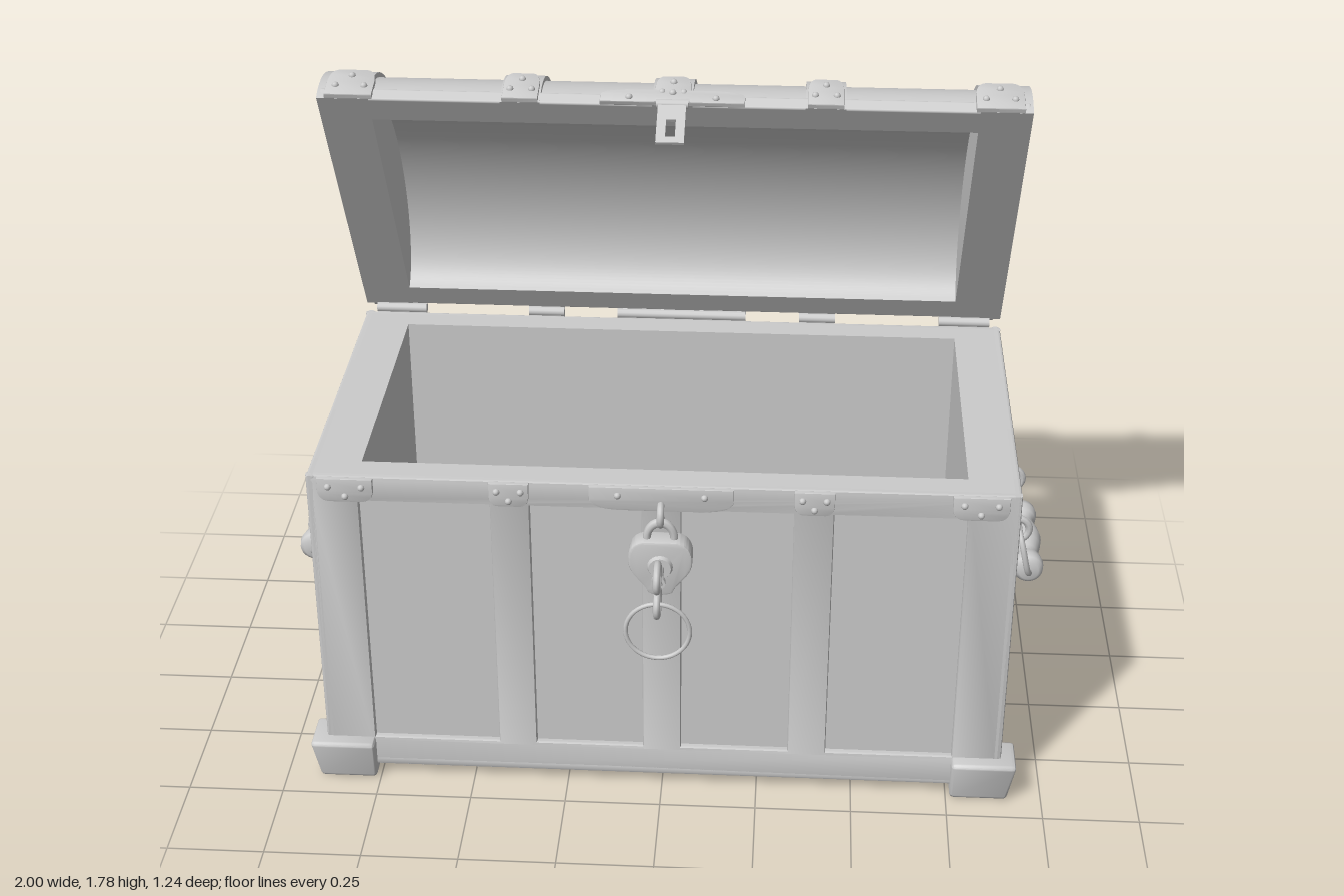
import * as THREE from 'three';
import { toCreasedNormals } from 'three/addons/utils/BufferGeometryUtils.js';
import { RoundedBoxGeometry } from 'three/addons/geometries/RoundedBoxGeometry.js';

const mat = new THREE.MeshStandardMaterial({ color: 0xcccccc, side: THREE.DoubleSide });
const CZ = -0.05, HX = 0.89, HZ = 0.46, TOP = 0.92, BASE = 0.03;
const STRAPS = [[-0.825, 0.13], [-0.38, 0.1], [0, 0.1], [0.38, 0.1], [0.825, 0.13]];
const COLS = [[-0.76, -0.43], [-0.33, -0.05], [0.05, 0.33], [0.43, 0.76]];
const ROWS = [[-0.38, -0.18], [-0.07, 0.07], [0.18, 0.38]];

function add(parent, name, geo, x = 0, y = 0, z = 0, rx = 0, ry = 0, rz = 0) {
  const m = new THREE.Mesh(geo, mat);
  m.name = name;
  m.position.set(x, y, z);
  m.rotation.set(rx, ry, rz);
  parent.add(m);
  return m;
}

function group(parent, name, x = 0, y = 0, z = 0, rx = 0, ry = 0, rz = 0) {
  const g = new THREE.Group();
  g.name = name;
  g.position.set(x, y, z);
  g.rotation.set(rx, ry, rz);
  parent.add(g);
  return g;
}

const poly = pts => new THREE.Shape(pts.map(p => new THREE.Vector2(...p)));
const rect = (x0, x1, y0, y1) => poly([[x0, y0], [x1, y0], [x1, y1], [x0, y1]]);

function extrude(shape, depth, bevel = 0) {
  const geo = new THREE.ExtrudeGeometry(shape, {
    depth: depth - bevel, curveSegments: 32, bevelEnabled: bevel > 0,
    bevelThickness: bevel, bevelSize: bevel, bevelOffset: -bevel, bevelSegments: 2,
  });
  return toCreasedNormals(geo, 0.6);
}

// Flat frame with a grid of rectangular openings
function frame(w, y0, y1, cols, rows, depth) {
  const s = rect(-w, w, y0, y1);
  for (const c of cols) for (const r of rows) s.holes.push(rect(c[0], c[1], r[0], r[1]));
  return extrude(s, depth, 0.008);
}

// Metal tab hanging down from its origin, with rivets
function plate(parent, name, w, h, x, y, z, rx = 0, ry = 0, rz = 0) {
  const g = group(parent, name, x, y, z, rx, ry, rz);
  const a = w / 2, s = new THREE.Shape();
  s.moveTo(-a, 0);
  s.lineTo(-a, -h * 0.5);
  s.quadraticCurveTo(-a, -h, -a * 0.5, -h);
  s.lineTo(a * 0.5, -h);
  s.quadraticCurveTo(a, -h, a, -h * 0.5);
  s.lineTo(a, 0);
  add(g, 'tab', extrude(s, 0.012, 0.003));
  for (const [px, py] of [[-a * 0.6, -h * 0.35], [a * 0.6, -h * 0.35], [0, -h * 0.75]])
    add(g, 'rivet', new THREE.SphereGeometry(0.009, 10, 6), px, py, 0.012);
  return g;
}

function buildBody(root) {
  const body = group(root, 'body', 0, 0, CZ);
  // Hollow walls and floor
  const walls = rect(-0.872, 0.872, -0.442, 0.442);
  walls.holes.push(rect(-0.76, 0.76, -0.38, 0.38));
  add(body, 'walls', extrude(walls, TOP - 0.05), 0, TOP, 0, Math.PI / 2);
  add(body, 'floor', new THREE.BoxGeometry(1.74, 0.05, 0.88), 0, 0.075, 0);
  // Raised framing around the recessed panels
  const d = 0.018, high = [[0.12, 0.85]];
  for (const s of [1, -1]) {
    const ry = s > 0 ? 0 : Math.PI;
    add(body, s > 0 ? 'frontFrame' : 'backFrame', frame(HX, BASE, TOP, COLS, high, d), 0, 0, s * (HZ - d), 0, ry);
    add(body, s > 0 ? 'leftFrame' : 'rightFrame', frame(HZ, BASE, TOP, ROWS, high, d), s * (HX - d), 0, 0, 0, s * Math.PI / 2);
  }
  add(body, 'bottomFrame', frame(HX, -HZ, HZ, COLS, ROWS, 0.022), 0, BASE + 0.022, 0, Math.PI / 2);
  // Corner feet, narrowing towards the ground
  for (const sx of [1, -1]) for (const sz of [1, -1]) {
    const geo = new RoundedBoxGeometry(0.17, 0.12, 0.12, 3, 0.012), p = geo.attributes.position;
    for (let i = 0; i < p.count; i++) {
      const t = 0.02 * (0.5 - p.getY(i) / 0.12);
      if (p.getX(i) * sx > 0) p.setX(i, p.getX(i) - sx * t);
      if (p.getZ(i) * sz > 0) p.setZ(i, p.getZ(i) - sz * t);
    }
    geo.computeVertexNormals();
    add(body, 'foot', toCreasedNormals(geo, 0.7), sx * 0.845, 0.06, sz * 0.44);
  }
  // Edge plates and hinge barrels
  for (const s of [1, -1]) {
    const ry = s > 0 ? 0 : Math.PI;
    for (const x of [-0.79, -0.38, 0, 0.38, 0.79]) {
      const w = x === 0 ? 0.36 : Math.abs(x) > 0.5 ? 0.14 : 0.1;
      plate(body, 'edgePlate', w, 0.065, x, TOP, s * HZ, 0, ry);
      if (s < 0) add(body, 'hingeBarrel', new THREE.CylinderGeometry(0.014, 0.014, w, 12), x, 0.928, -HZ - 0.008, 0, 0, Math.PI / 2);
    }
  }
  plate(body, 'backCentrePlate', 0.09, 0.1, 0, TOP, -HZ - 0.004, 0, Math.PI);
}

// Half-ellipse in (z, y); optional inner half-ellipse opening
function dome(a, b, ia = 0, ib = 0) {
  const s = new THREE.Shape();
  s.moveTo(a, 0);
  s.absellipse(0, 0, a, b, 0, Math.PI, false);
  if (ia) {
    s.lineTo(-ia, 0);
    s.absellipse(0, 0, ia, ib, Math.PI, 0, true);
  }
  s.closePath();
  return s;
}

function buildLid(root) {
  const hinge = group(root, 'lid', 0, 0.94, -0.52, -Math.PI / 3);
  const lid = group(hinge, 'lidShell', 0, 0, HZ);
  const across = (name, shape, x, w, bevel = 0) =>
    add(lid, name, extrude(shape, w, bevel).rotateY(-Math.PI / 2), x + w / 2, 0, 0);
  across('domePanel', dome(0.45, 0.252, 0.38, 0.19), 0, 1.54);
  for (const [x, w] of STRAPS) {
    if (Math.abs(x) < 0.5) across('strap', dome(0.462, 0.266, 0.44, 0.24), x, w);
    else {
      // Solid end with a raised border around a sunken panel
      const s = Math.sign(x), border = dome(0.462, 0.266), hole = new THREE.Path();
      hole.moveTo(0.395, 0.045);
      for (let i = 1; i <= 28; i++) {
        const t = i / 28 * Math.PI;
        hole.lineTo(0.395 * Math.cos(t), 0.045 + 0.168 * Math.sin(t));
      }
      border.holes.push(hole);
      across('lidEnd', dome(0.462, 0.266), s * 0.818, 0.116);
      across('lidEndBorder', border, s * 0.882, 0.016);
    }
  }
  // Base rails and edge plates on the front and back
  for (const s of [1, -1]) {
    const side = group(lid, s > 0 ? 'lidFrontEdge' : 'lidBackEdge', 0, 0, 0, 0, s > 0 ? 0 : Math.PI);
    add(side, 'rail', new RoundedBoxGeometry(1.77, 0.035, 0.03, 2, 0.006), 0, 0.0175, 0.446);
    for (const x of [-0.81, -0.38, 0, 0.38, 0.81])
      plate(side, 'lidPlate', Math.abs(x) > 0.5 ? 0.12 : 0.09, 0.11, x, 0, 0.464, -0.3, 0, Math.PI);
    plate(side, 'lidCentrePlate', 0.36, 0.045, 0, 0, 0.462, -0.15, 0, Math.PI);
  }
  // Slotted hasp
  const hasp = rect(-0.035, 0.035, -0.134, 0);
  hasp.holes.push(rect(-0.012, 0.012, -0.115, -0.06));
  add(root, 'hasp', extrude(hasp, 0.008), 0, 1.742, -0.065, -1.107);
  add(root, 'haspBarrel', new THREE.CylinderGeometry(0.012, 0.012, 0.08, 12), 0, 1.742, -0.062, 0, 0, Math.PI / 2);
}

function buildHandle(root, ry) {
  const h = group(root, 'sideHandle', 0, 0, CZ, 0, ry);
  // Leaf-shaped mounting plates
  const half = [[0, 0.195], [0.022, 0.14], [0.045, 0.07], [0.028, 0.075], [0.042, 0.03], [0.02, 0.035], [0.014, 0]];
  const mir = (sx, sy) => half.map(([x, y]) => [x * sx, y * sy]);
  const leaf = [...mir(1, 1), ...mir(1, -1).reverse().slice(1), ...mir(-1, -1).slice(1), ...mir(-1, 1).reverse().slice(1, -1)];
  for (const z of [-0.13, 0.13]) {
    add(h, 'leafPlate', extrude(poly(leaf), 0.015, 0.003), HX - 0.002, 0.625, z, 0, Math.PI / 2);
    for (const y of [-0.14, -0.08, 0.08, 0.14])
      add(h, 'rivet', new THREE.SphereGeometry(0.009, 10, 6), HX + 0.013, 0.625 + y, z);
    add(h, 'handleEye', new THREE.TorusGeometry(0.032, 0.01, 8, 20), 0.918, 0.625, z);
  }
  // Wire bail through both eyes
  const pts = [[0.925, 0.625, -0.165], [0.925, 0.625, 0], [0.925, 0.625, 0.165], [0.932, 0.6, 0.182],
    [0.948, 0.53, 0.182], [0.955, 0.51, 0.165], [0.955, 0.51, 0], [0.955, 0.51, -0.165], [0.948, 0.53, -0.182], [0.932, 0.6, -0.182]];
  const curve = new THREE.CatmullRomCurve3(pts.map(p => new THREE.Vector3(...p)), true, 'centripetal');
  add(h, 'bail', new THREE.TubeGeometry(curve, 90, 0.008, 8, true));
  // Turned grip
  const prof = [[0, 0.155], [0.026, 0.155], [0.038, 0.145], [0.041, 0.125], [0.036, 0.1], [0.028, 0.09], [0.03, 0.07], [0.039, 0.035]];
  const full = [...prof.map(([r, y]) => [r, -y]), [0.044, 0], ...prof.slice().reverse()];
  add(h, 'grip', new THREE.LatheGeometry(full.map(p => new THREE.Vector2(...p)), 24), 0.955, 0.51, 0, Math.PI / 2);
}

function buildLock(root) {
  const lock = group(root, 'padlock');
  const s = new THREE.Shape();
  s.moveTo(-0.03, 0.64);
  s.quadraticCurveTo(0, 0.628, 0.03, 0.64);
  s.bezierCurveTo(0.045, 0.68, 0.085, 0.69, 0.08, 0.745);
  s.quadraticCurveTo(0.075, 0.785, 0.04, 0.79);
  s.lineTo(-0.04, 0.79);
  s.quadraticCurveTo(-0.075, 0.785, -0.08, 0.745);
  s.bezierCurveTo(-0.085, 0.69, -0.045, 0.68, -0.03, 0.64);
  add(lock, 'lockCase', extrude(s, 0.05, 0.006), 0, 0, 0.415);
  add(lock, 'lockBoss', new THREE.CylinderGeometry(0.028, 0.034, 0.014, 20), 0, 0.72, 0.468, Math.PI / 2);
  add(lock, 'shackle', new THREE.TorusGeometry(0.034, 0.01, 8, 20, Math.PI), 0, 0.79, 0.44).scale.y = 1.3;
  add(lock, 'staple', new THREE.TorusGeometry(0.026, 0.009, 8, 20), 0, 0.85, 0.428, 0, Math.PI / 2);
  // Key with double-loop bow and hanging ring
  const key = group(lock, 'key', 0, 0.72, 0);
  add(key, 'keyShaft', new THREE.CylinderGeometry(0.011, 0.011, 0.1, 12), 0, 0, 0.5, Math.PI / 2);
  add(key, 'keyCollar', new THREE.CylinderGeometry(0.018, 0.018, 0.014, 12), 0, 0, 0.535, Math.PI / 2);
  for (const y of [-0.036, 0.036])
    add(key, 'keyBow', new THREE.TorusGeometry(0.032, 0.009, 8, 24), 0, y, 0.57, 0, Math.PI / 2).scale.x = 1.2;
  add(key, 'keyRing', new THREE.TorusGeometry(0.08, 0.006, 8, 40), 0, -0.125, 0.565);
}

export function createModel() {
  const root = new THREE.Group();
  root.name = 'treasureChest';
  buildBody(root);
  buildLid(root);
  for (const ry of [0, Math.PI]) buildHandle(root, ry);
  buildLock(root);
  return root;
}
